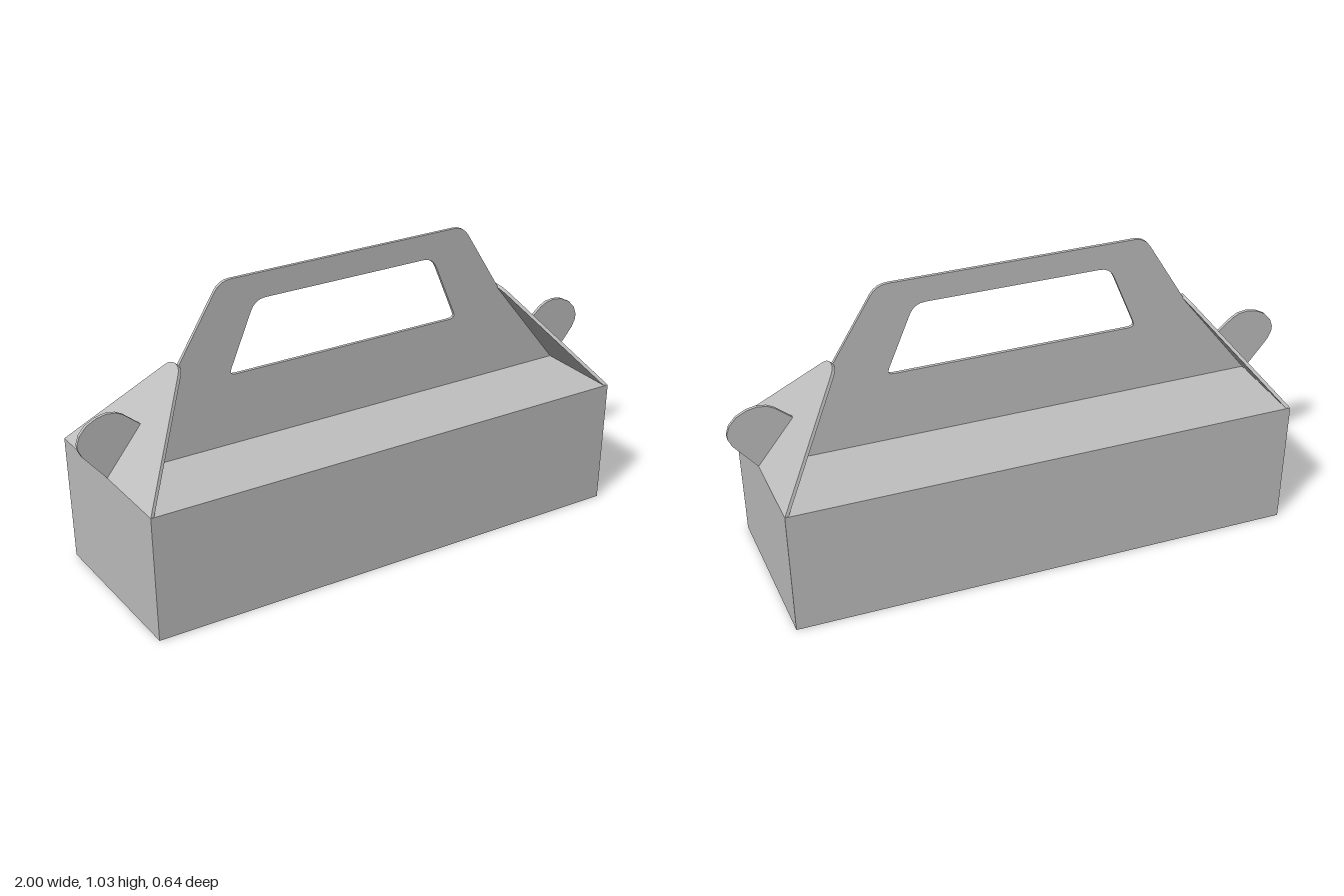
import * as THREE from 'three';

const T = 0.012; // card thickness
const RIM = 0.45; // height of the box part

// Closed outline from [x, y, cornerRadius] points
function outline(path, pts) {
  const n = pts.length;
  const toward = (a, b, r) => {
    const k = r / Math.hypot(b[0] - a[0], b[1] - a[1]);
    return [a[0] + (b[0] - a[0]) * k, a[1] + (b[1] - a[1]) * k];
  };
  pts.forEach((p, i) => {
    const r = p[2] || 0;
    const start = toward(p, pts[(i + n - 1) % n], r);
    if (i === 0) path.moveTo(...start);
    else path.lineTo(...start);
    if (r) path.quadraticCurveTo(p[0], p[1], ...toward(p, pts[(i + 1) % n], r));
  });
  path.closePath();
  return path;
}

function card(shape) {
  return new THREE.ExtrudeGeometry(shape, { depth: T, bevelEnabled: false, curveSegments: 4 });
}

export function createModel() {
  const group = new THREE.Group();
  const cardboard = new THREE.MeshStandardMaterial({ color: 0xc0c0c0 });
  cardboard.name = 'grey cardboard';
  const add = (name, geometry) => {
    const mesh = new THREE.Mesh(geometry, cardboard);
    mesh.name = name;
    group.add(mesh);
  };

  // Box with a slightly narrower base and a flat lid
  const body = new THREE.BoxGeometry(1.81, RIM, 0.644).translate(0, RIM / 2, 0);
  const pos = body.attributes.position;
  for (let i = 0; i < pos.count; i++) {
    if (pos.getY(i) < 0.01) {
      pos.setX(i, Math.sign(pos.getX(i)) * 0.895);
      pos.setZ(i, Math.sign(pos.getZ(i)) * 0.317);
    }
  }
  body.computeVertexNormals();
  add('boxBody', body);

  // Upright handle panel with a grip opening
  const panel = outline(new THREE.Shape(), [
    [-0.895, RIM], [0.895, RIM], [0.63, 0.785],
    [0.476, 1.035, 0.04], [-0.476, 1.035, 0.04], [-0.63, 0.785],
  ]);
  panel.holes.push(outline(new THREE.Path(), [
    [-0.453, 0.7, 0.025], [-0.35, 0.945, 0.04], [0.35, 0.945, 0.04], [0.453, 0.7, 0.025],
  ]));
  add('handlePanel', card(panel));

  // Sloping end flaps, drawn flat and leaned inward
  const run = 0.265, rise = 0.335, len = Math.hypot(run, rise);
  const flapShape = outline(new THREE.Shape(), [
    [-0.322, 0], [0.322, 0], [0.031, len, 0.03], [-0.031, len, 0.03],
  ]);
  const lean = new THREE.Matrix4().makeBasis(
    new THREE.Vector3(0, 0, -1),
    new THREE.Vector3(-run / len, rise / len, 0),
    new THREE.Vector3(rise / len, run / len, 0),
  ).setPosition(0.905, RIM, 0);

  // Rounded locking tabs standing out from the flaps
  const tabPoints = [
    [0.905, 0.45], [0.985, 0.545], [0.998, 0.572], [1, 0.592], [0.99, 0.622], [0.965, 0.65],
    [0.93, 0.668], [0.895, 0.675], [0.86, 0.67], [0.835, 0.657], [0.778, 0.61],
  ];

  for (const [side, label] of [[1, 'left'], [-1, 'right']]) {
    const flap = card(flapShape).translate(0, 0, -T).applyMatrix4(lean);
    if (side < 0) flap.rotateY(Math.PI);
    add(label + 'EndFlap', flap);
    add(label + 'LockingTab', card(outline(new THREE.Shape(), tabPoints.map(([x, y]) => [x * side, y]))));
  }
  return group;
}
